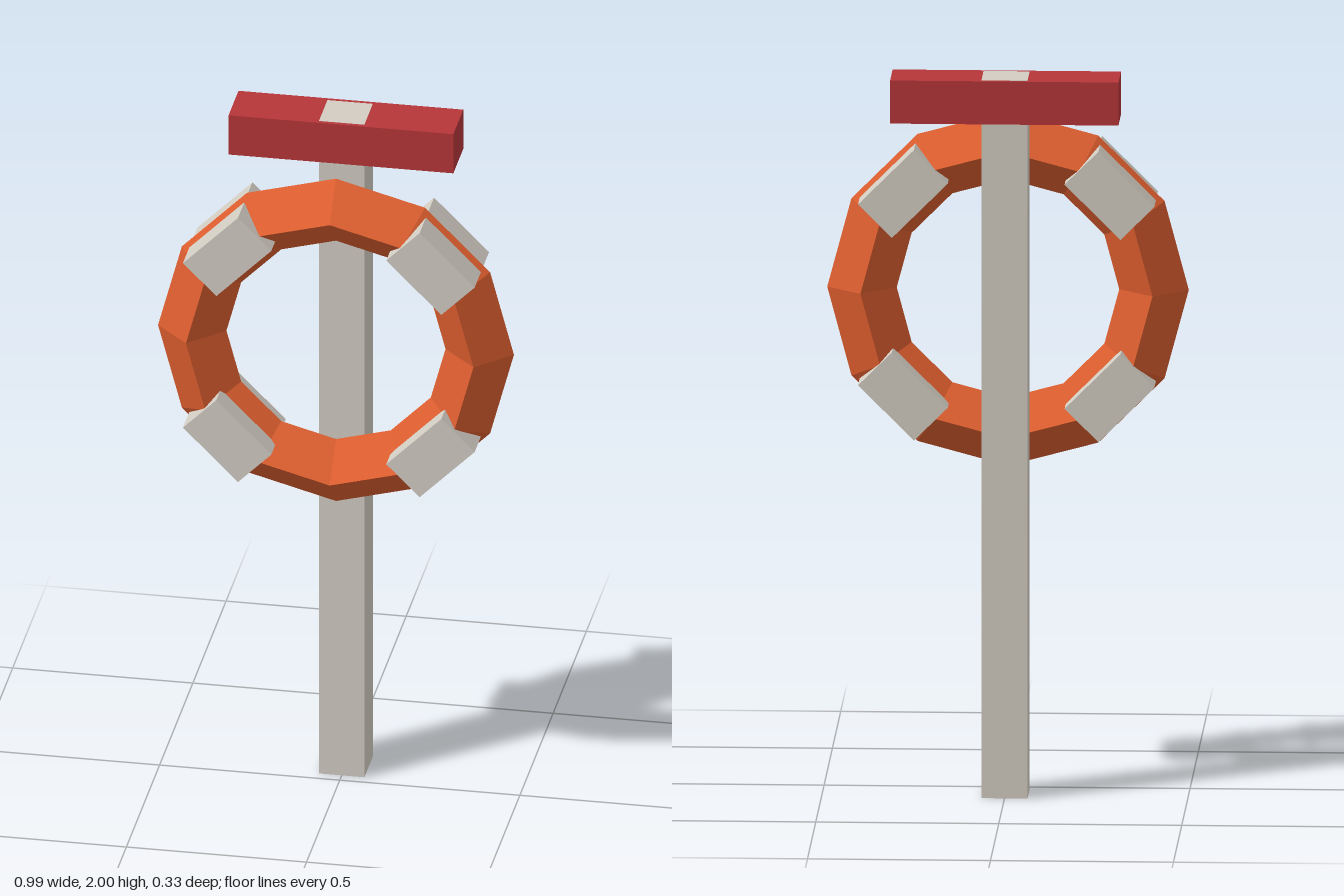
import * as THREE from 'three';

export function createModel() {
  const model = new THREE.Group();
  model.name = 'lifebuoyStand';

  const material = (name, color) => {
    const m = new THREE.MeshStandardMaterial({ color, flatShading: true });
    m.name = name;
    return m;
  };
  const orange = material('orange', 0xde5e2f);
  const red = material('red', 0xb63639);
  const offWhite = material('offWhite', 0xd3cdc3);

  const add = (parent, name, geometry, mat, x, y, z) => {
    const mesh = new THREE.Mesh(geometry, mat);
    mesh.name = name;
    mesh.position.set(x, y, z);
    parent.add(mesh);
    return mesh;
  };

  // Post runs up through the sign board, its end just showing on top
  const postHeight = 2.0005;
  add(model, 'post', new THREE.BoxGeometry(0.126, postHeight, 0.127), offWhite, 0, postHeight / 2, -0.093);
  add(model, 'topBoard', new THREE.BoxGeometry(0.624, 0.12, 0.15), red, 0, 1.94, -0.093);

  // Faceted ring with a diamond cross-section, hung on the post's front
  const buoy = new THREE.Group();
  buoy.name = 'lifebuoy';
  buoy.position.set(0, 1.378, 0.056);
  model.add(buoy);
  const radius = 0.399;
  add(buoy, 'ring', new THREE.TorusGeometry(radius, 0.095, 4, 12), orange, 0, 0, 0);

  // Four bands wrapped round the ring on the diagonals
  const bandGeometry = new THREE.BoxGeometry(0.131, 0.216, 0.217);
  for (let i = 0; i < 4; i++) {
    const a = Math.PI / 4 + (i * Math.PI) / 2;
    const band = add(buoy, 'band' + (i + 1), bandGeometry, offWhite, Math.cos(a) * radius, Math.sin(a) * radius, 0);
    band.rotation.z = a;
  }

  return model;
}
